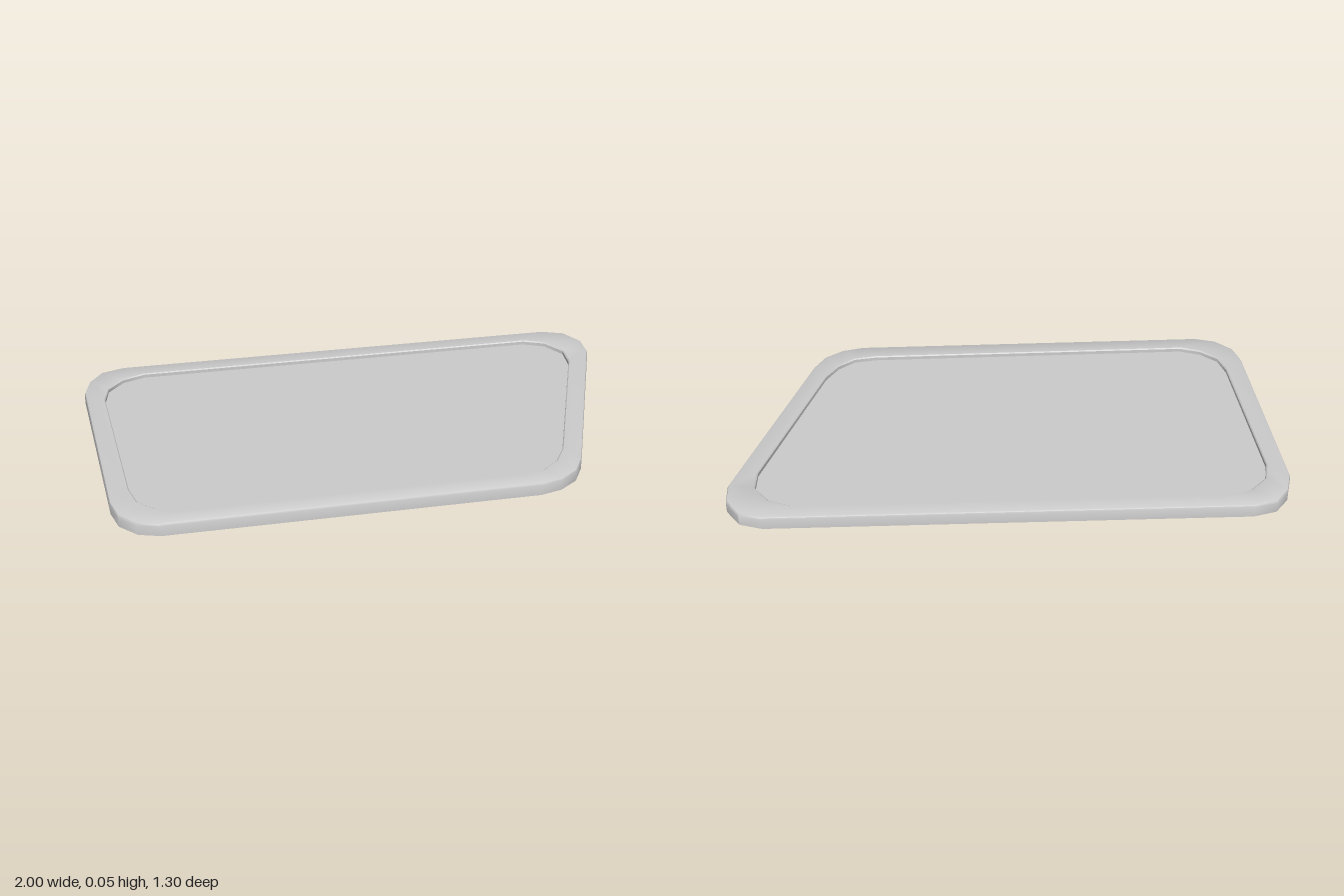
import * as THREE from 'three';
import { toCreasedNormals } from 'three/addons/utils/BufferGeometryUtils.js';

// Plan outlines as [x, z], four points per rounded corner
const OUTER = [
  [-1, -0.225], [-0.99, -0.31], [-0.95, -0.38], [-0.87, -0.415],
  [0.835, -0.655], [0.92, -0.64], [0.98, -0.575], [0.995, -0.49],
  [0.845, 0.29], [0.815, 0.365], [0.755, 0.42], [0.68, 0.45],
  [-0.65, 0.65], [-0.73, 0.64], [-0.8, 0.59], [-0.835, 0.515],
];
const INNER = [
  [-0.915, -0.17], [-0.91, -0.25], [-0.86, -0.32], [-0.78, -0.36],
  [0.745, -0.575], [0.83, -0.555], [0.895, -0.49], [0.905, -0.405],
  [0.785, 0.225], [0.75, 0.305], [0.695, 0.36], [0.615, 0.385],
  [-0.59, 0.57], [-0.67, 0.555], [-0.74, 0.51], [-0.775, 0.435],
];

// Rim section as [blend from outer to inner outline, height]; open underneath
const SECTION = [[0, 0.005], [0, 0.045], [0.03, 0.051], [0.1, 0.054], [0.95, 0.054], [1, 0.05], [1, 0]];

function rimGeometry() {
  const n = OUTER.length, pos = [], idx = [];
  for (const [t, y] of SECTION) {
    for (let i = 0; i < n; i++) {
      pos.push(
        THREE.MathUtils.lerp(OUTER[i][0], INNER[i][0], t), y,
        THREE.MathUtils.lerp(OUTER[i][1], INNER[i][1], t));
    }
  }
  for (let r = 0; r < SECTION.length - 1; r++) {
    for (let i = 0; i < n; i++) {
      const j = (i + 1) % n;
      const a = r * n + i, b = r * n + j, c = a + n, d = b + n;
      idx.push(a, c, b, b, c, d);
    }
  }
  const g = new THREE.BufferGeometry();
  g.setAttribute('position', new THREE.Float32BufferAttribute(pos, 3));
  g.setIndex(idx);
  return toCreasedNormals(g, 0.65);
}

export function createModel() {
  const material = new THREE.MeshStandardMaterial({ color: 0xcccccc, side: THREE.DoubleSide });
  const group = new THREE.Group();
  group.name = 'framedPanel';

  // Hollow raised rim with an outer skirt and a deeper inner wall
  const rim = new THREE.Mesh(rimGeometry(), material);
  rim.name = 'rim';

  // Thin sheet set just below the top of the rim
  const shape = new THREE.Shape(INNER.map(([x, z]) => new THREE.Vector2(x, -z)));
  const panel = new THREE.Mesh(new THREE.ShapeGeometry(shape).rotateX(-Math.PI / 2), material);
  panel.position.y = 0.037;
  panel.name = 'panel';

  group.add(rim, panel);
  return group;
}
